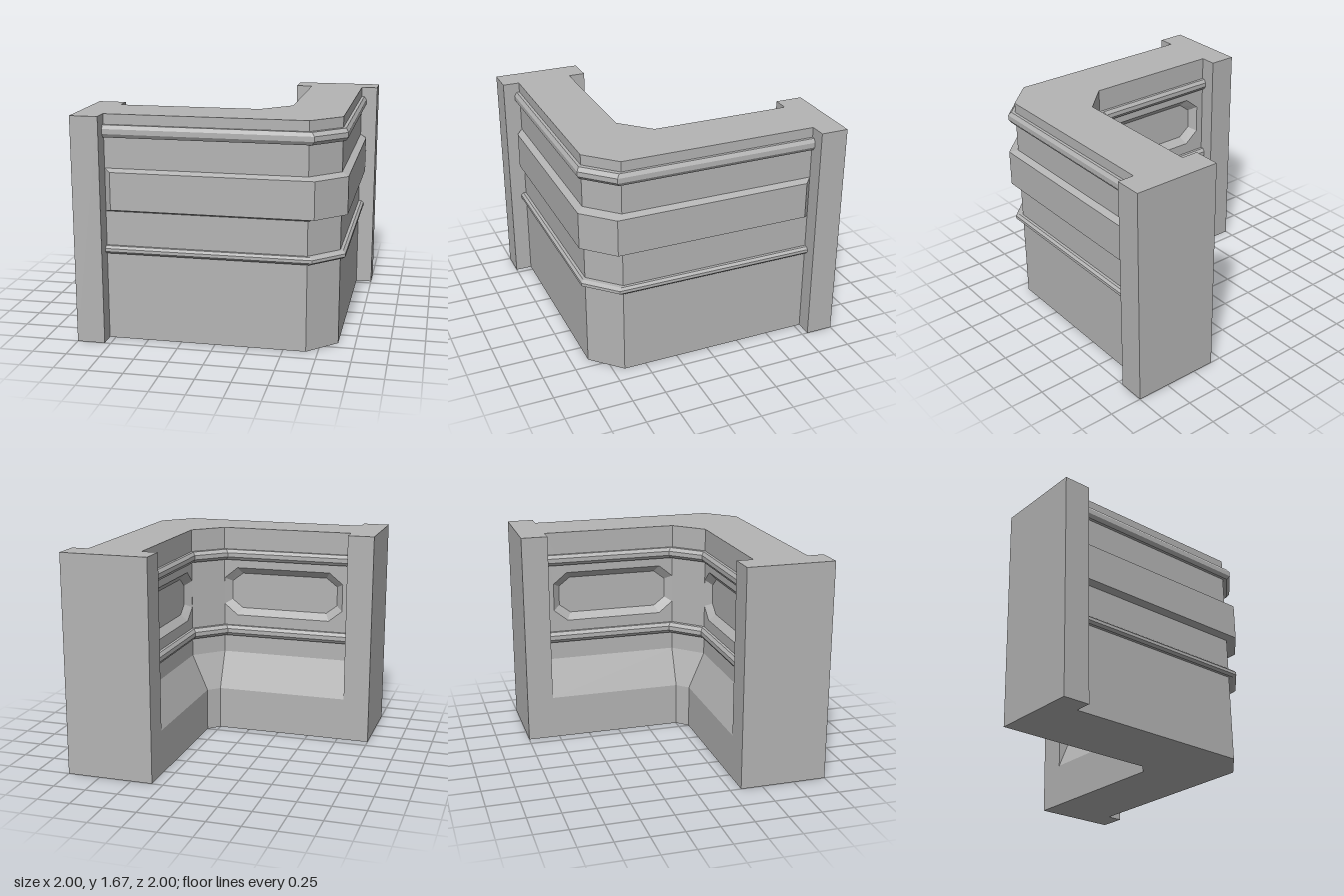
import * as THREE from 'three';
import { mergeGeometries } from 'three/addons/utils/BufferGeometryUtils.js';

const H = 1.67, END = -0.795;

// Flat-shaded geometry from polygons given as lists of [x, y, z] corners
function fromPolygons(polygons) {
  const pos = [];
  for (const p of polygons)
    for (let i = 1; i < p.length - 1; i++) pos.push(...p[0], ...p[i], ...p[i + 1]);
  const g = new THREE.BufferGeometry();
  g.setAttribute('position', new THREE.Float32BufferAttribute(pos, 3));
  g.computeVertexNormals();
  return g;
}

// Carries a profile round the chamfered corner.
// A profile point is [face z, corner x, y, end x]; the second wing swaps x and z.
function sweep(profile, { caps = false, keep = () => true } = {}) {
  const rings = profile.map(([z, c, y, s = END]) => [[s, y, z], [c, y, z], [z, y, c], [z, y, s]]);
  const polys = [];
  for (let j = 0; j < rings.length - 1; j++)
    for (let i = 0; i < 3; i++)
      if (keep(j, i)) polys.push([rings[j][i], rings[j][i + 1], rings[j + 1][i + 1], rings[j + 1][i]]);
  if (caps) polys.push(rings.map(r => r[0]), rings.map(r => r[3]).reverse());
  return fromPolygons(polys);
}

// Mirrors a geometry onto the other wing (x <-> z) and restores the winding
function swapWing(geometry) {
  const p = geometry.getAttribute('position');
  const polys = [];
  for (let i = 0; i < p.count; i += 3)
    polys.push([i, i + 2, i + 1].map(k => [p.getZ(k), p.getY(k), p.getX(k)]));
  return fromPolygons(polys);
}

// Upper inner wall of one wing, with a bevelled eight-sided recess
function recessedWall(y0) {
  const octagon = (inset) => {
    const l = -0.25 + inset, r = 0.74 - inset, b = 0.945 + inset, t = 1.345 - inset;
    const cx = 0.11 - inset * 0.4, cy = 0.09 - inset * 0.4;
    return [[l + cx, b], [r - cx, b], [r, b + cy], [r, t - cy], [r - cx, t], [l + cx, t], [l, t - cy], [l, b + cy]]
      .map(([u, v]) => new THREE.Vector2(u, v));
  };
  const rim = octagon(0.002), floor = octagon(0.055), depth = -0.05;
  const face = new THREE.Shape([[-0.25, y0], [-END, y0], [-END, H], [-0.25, H]].map(([u, v]) => new THREE.Vector2(u, v)));
  face.holes.push(new THREE.Path([...rim].reverse()));
  const flat = (shape, z) => {
    const g = new THREE.ShapeGeometry(shape).toNonIndexed().translate(0, 0, z);
    g.deleteAttribute('uv');
    return g;
  };
  const bevel = fromPolygons(rim.map((p, i) => {
    const k = (i + 1) % 8;
    return [[p.x, p.y, 0], [rim[k].x, rim[k].y, 0], [floor[k].x, floor[k].y, depth], [floor[i].x, floor[i].y, depth]];
  }));
  return mergeGeometries([flat(face, 0), flat(new THREE.Shape(floor), depth), bevel])
    .rotateY(Math.PI).translate(0, 0, 0.46);
}

export function createModel() {
  const group = new THREE.Group();
  const stone = new THREE.MeshStandardMaterial({ color: 0xb4b4b4 });
  stone.name = 'grey stone';
  const add = (name, geometry) => {
    const m = new THREE.Mesh(geometry, stone);
    m.name = name;
    group.add(m);
    return m;
  };

  // Wall body: outer face, top, inner face, sloped ledge, plinth and underside
  const ledgeTop = 0.63;
  add('wallBody', sweep([
    [0.875, 0.665, 0], [0.875, 0.665, H], [0.46, 0.25, H], [0.46, 0.25, ledgeTop],
    [0.335, 0.25, 0.34], [0.335, 0.25, 0], [0.875, 0.665, 0],
  ], { keep: (j, i) => j !== 2 || i === 1 }));

  // Inner wall faces with recesses
  const inner = recessedWall(ledgeTop);
  add('frontWingRecess', inner);
  add('sideWingRecess', swapWing(inner));

  // End pillars
  const pillar = new THREE.BoxGeometry(0.205, H, 0.665).translate(-0.8975, H / 2, 0.6675);
  add('frontWingPillar', pillar);
  add('sideWingPillar', swapWing(pillar.toNonIndexed()));

  // Raised outer panel with bevelled edges
  const out = (d, y, s) => [0.875 + d, 0.665 + d, y, s];
  add('outerPanel', sweep([
    out(0, 0.965), out(0.05, 0.985, -0.745), out(0.05, 1.26, -0.745), out(0, 1.28),
  ], { caps: true }));

  // Rounded rails, outside then inside
  const rail = (y0, y1) => {
    const e = (y1 - y0) * 0.3;
    return [[0, y0], [0.022, y0], [0.04, y0 + e], [0.04, y1 - e], [0.022, y1], [0, y1]];
  };
  for (const [name, y0, y1] of [['upperOuterRail', 1.505, 1.595], ['lowerOuterRail', 0.655, 0.712]])
    add(name, sweep(rail(y0, y1).map(([d, y]) => out(d, y))));
  for (const [name, y0, y1] of [['upperInnerRail', 1.41, 1.495], ['lowerInnerRail', 0.775, 0.86]])
    add(name, sweep(rail(y0, y1).reverse().map(([d, y]) => [0.46 - d, 0.25 - d, y])));

  return group;
}
